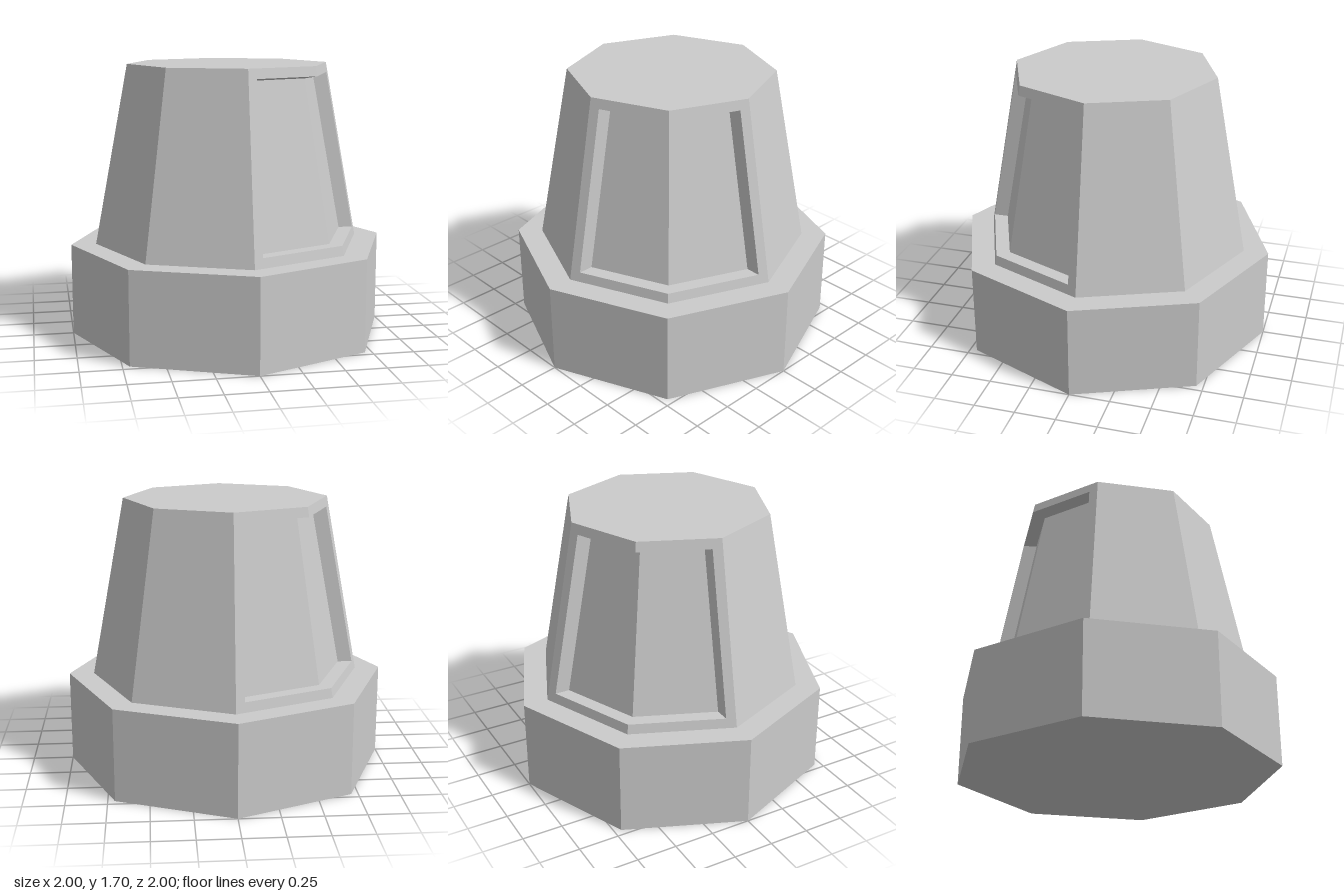
import * as THREE from 'three';

const BASE_H = 0.575, TOP_Y = 1.7, R_LOW = 0.845, R_TOP = 0.633;
const SILL = 0.635, HEAD = 1.64, HEAD_IN = 1.625; // recess heights
const MARGIN = 0.055, DEPTH = 0.09;

const material = new THREE.MeshStandardMaterial({ color: 0xcccccc, flatShading: true });
const radius = y => R_LOW + (R_TOP - R_LOW) * (y - BASE_H) / (TOP_Y - BASE_H);

// Point on an octagon corner k at height y, optionally inset
function corner(k, y, inset = 0) {
  const r = radius(y) - inset, a = k * Math.PI / 4;
  return [r * Math.cos(a), y, r * Math.sin(a)];
}

// Point on the first side, a fixed margin away from corner 0
function jamb(y, inset = 0) {
  return [radius(y) - inset - MARGIN * Math.tan(Math.PI / 8), y, MARGIN];
}

// Mesh from quads listed counter-clockwise from outside
function quadMesh(name, quads) {
  const pos = quads.flatMap(([a, b, c, d]) => [a, b, c, a, c, d].flat());
  const geo = new THREE.BufferGeometry();
  geo.setAttribute('position', new THREE.Float32BufferAttribute(pos, 3));
  geo.computeVertexNormals();
  const mesh = new THREE.Mesh(geo, material);
  mesh.name = name;
  return mesh;
}

// Mirror quads across the x = z plane, reversing the winding
const mirror = quads => quads.map(q => q.map(([x, y, z]) => [z, y, x]).reverse());
const bothSides = quads => [...quads, ...mirror(quads)];

export function createModel() {
  const group = new THREE.Group();

  // Octagonal base
  const base = new THREE.Mesh(new THREE.CylinderGeometry(1, 1, BASE_H, 8), material);
  base.position.y = BASE_H / 2;
  base.name = 'base';
  group.add(base);

  // Flat top of the tower
  const cap = new THREE.Mesh(new THREE.CircleGeometry(R_TOP, 8).rotateX(-Math.PI / 2), material);
  cap.position.y = TOP_Y;
  cap.name = 'towerTop';
  group.add(cap);

  // Plain tapering walls
  const walls = [2, 3, 6, 7].map(k => [
    corner(k + 1, BASE_H), corner(k, BASE_H), corner(k, TOP_Y), corner(k + 1, TOP_Y),
  ]);
  group.add(quadMesh('plainWalls', walls));

  // Frame around the recess, flush with the wall
  const frame = [
    [corner(1, BASE_H), corner(0, BASE_H), corner(0, SILL), corner(1, SILL)],
    [jamb(SILL), corner(0, SILL), corner(0, HEAD), jamb(HEAD)],
    [corner(1, HEAD), corner(0, HEAD), corner(0, TOP_Y), corner(1, TOP_Y)],
  ];

  // Recessed panel with its sill, side and head
  const cIn = y => corner(1, y, DEPTH), jIn = y => jamb(y, DEPTH);
  const panel = [[cIn(SILL), jIn(SILL), jIn(HEAD_IN), cIn(HEAD_IN)]];
  const reveal = [
    [corner(1, SILL), jamb(SILL), jIn(SILL), cIn(SILL)],
    [jIn(SILL), jamb(SILL), jamb(HEAD), jIn(HEAD_IN)],
    [cIn(HEAD_IN), jIn(HEAD_IN), jamb(HEAD), corner(1, HEAD)],
  ];

  // Two opposite corner windows
  for (let i = 0; i < 2; i++) {
    const win = new THREE.Group();
    win.name = i ? 'backWindow' : 'frontWindow';
    win.add(quadMesh('windowFrame', bothSides(frame)));
    win.add(quadMesh('windowPanel', bothSides(panel)));
    win.add(quadMesh('windowReveal', bothSides(reveal)));
    win.rotation.y = i * Math.PI;
    group.add(win);
  }
  return group;
}
